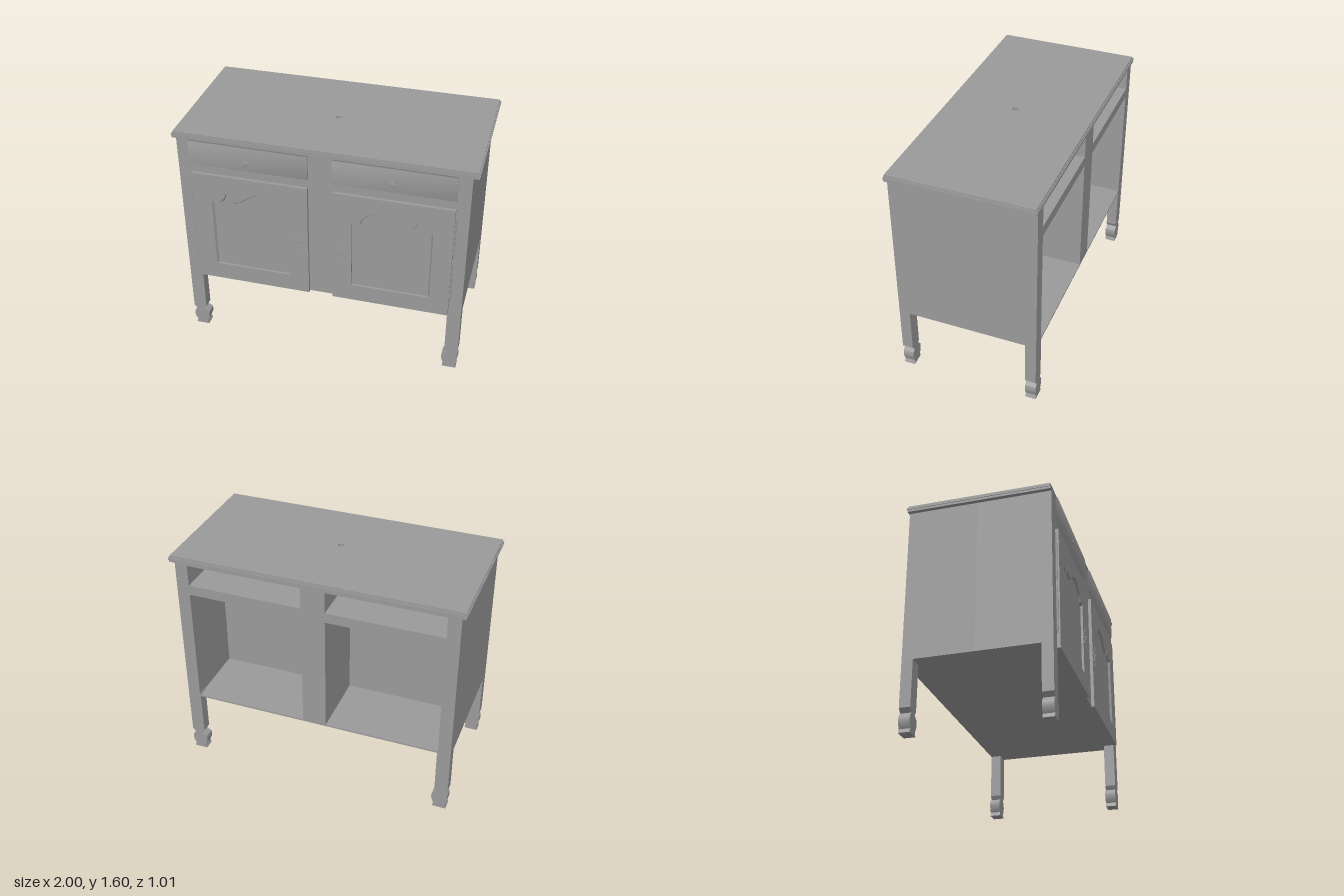
import * as THREE from 'three';
import { mergeVertices } from 'three/addons/utils/BufferGeometryUtils.js';

const mat = new THREE.MeshStandardMaterial({ color: 0x9a9a9a });
const CX = -0.005; // cabinet axis

function add(parent, name, geo, x = 0, y = 0, z = 0) {
  const m = new THREE.Mesh(geo, mat);
  m.name = name;
  m.position.set(x, y, z);
  parent.add(m);
  return m;
}

function rect(Type, x0, y0, x1, y1) {
  const p = new Type();
  p.moveTo(x0, y0); p.lineTo(x1, y0); p.lineTo(x1, y1); p.lineTo(x0, y1);
  p.closePath();
  return p;
}

function extrude(shape, depth, curveSegments = 12) {
  return new THREE.ExtrudeGeometry(shape, { depth, bevelEnabled: false, curveSegments });
}

function lathe(points, segments) {
  return new THREE.LatheGeometry(points.map(([r, y]) => new THREE.Vector2(r, y)), segments);
}

// Box with normals shared across its edges, for a softly cushioned look
function softBox(w, h, d) {
  const g = new THREE.BoxGeometry(w, h, d);
  g.deleteAttribute('normal');
  g.deleteAttribute('uv');
  const soft = mergeVertices(g);
  soft.computeVertexNormals();
  return soft;
}

// Arched panel outline; s mirrors it, inset pulls in the outer side and the top
function panelPath(Type, s, inset = 0) {
  const p = new Type(), i = inset;
  p.moveTo(s * (0.745 - i), 0.60);
  p.lineTo(s * (0.745 - i), 1.115 - i);
  p.lineTo(s * 0.698, 1.115 - i);
  p.quadraticCurveTo(s * 0.655, 1.125 - i, s * 0.641, 1.19 - i);
  p.quadraticCurveTo(s * 0.628, 1.13 - i, s * 0.583, 1.125 - i);
  p.bezierCurveTo(s * 0.53, 1.13 - i, s * 0.49, 1.208 - i, s * 0.40, 1.208 - i);
  p.bezierCurveTo(s * 0.33, 1.208 - i, s * 0.285, 1.165 - i, s * 0.266, 1.112 - i);
  p.lineTo(s * 0.213, 1.112 - i);
  p.lineTo(s * 0.213, 0.60);
  p.closePath();
  return p;
}

// Sloping lip between the door face and the recessed panel
function lipGeometry(s) {
  const front = panelPath(THREE.Path, s).getPoints(12);
  const deep = panelPath(THREE.Path, s, 0.011).getPoints(12);
  const pos = [];
  for (let k = 0; k < front.length - 1; k++) {
    const [a, b] = s > 0 ? [k, k + 1] : [k + 1, k];
    const quad = [[front[a], 0.497], [front[b], 0.497], [deep[a], 0.481], [deep[b], 0.481]];
    for (const n of [0, 1, 2, 1, 3, 2]) pos.push(quad[n][0].x, quad[n][0].y, quad[n][1]);
  }
  const g = new THREE.BufferGeometry();
  g.setAttribute('position', new THREE.Float32BufferAttribute(pos, 3));
  g.computeVertexNormals();
  return g;
}

// Leg with notched ankle and bulging foot, outer side towards s
function legShape(s) {
  const p = new THREE.Shape();
  p.moveTo(s * 0.963, 0.50);
  p.lineTo(s * 0.963, 0.16);
  p.lineTo(s * 0.938, 0.132);
  p.lineTo(s * 0.958, 0.11);
  p.quadraticCurveTo(s * 0.972, 0.07, s * 0.945, 0.028);
  p.lineTo(s * 0.957, 0);
  p.lineTo(s * 0.862, 0);
  p.lineTo(s * 0.872, 0.028);
  p.quadraticCurveTo(s * 0.845, 0.07, s * 0.855, 0.11);
  p.lineTo(s * 0.888, 0.132);
  p.lineTo(s * 0.870, 0.16);
  p.lineTo(s * 0.870, 0.50);
  p.closePath();
  return p;
}

// Half outline of the ornate key plate, from bottom to top
const PLATE = [[0, -0.09], [0.012, -0.075], [0.008, -0.06], [0.028, -0.045], [0.02, -0.02],
  [0.033, 0.005], [0.024, 0.03], [0.03, 0.045], [0.01, 0.06], [0.014, 0.075], [0, 0.09]];

function keyPlate(parent, x, y) {
  const plate = new THREE.Group();
  plate.name = 'keyPlate';
  plate.position.set(x, y, 0.496);
  parent.add(plate);
  const p = new THREE.Shape();
  PLATE.forEach(([px, py], i) => (i ? p.lineTo(px, py) : p.moveTo(px, py)));
  PLATE.slice(1, -1).reverse().forEach(([px, py]) => p.lineTo(-px, py));
  p.closePath();
  const hole = new THREE.Path();
  hole.absarc(0, 0, 0.006, 0, Math.PI * 2, true);
  p.holes.push(hole);
  add(plate, 'plate', extrude(p, 0.003));
  for (const s of [-1, 1]) {
    for (const [px, py] of PLATE) {
      add(plate, 'plateBead', new THREE.SphereGeometry(0.004, 8, 6), s * px * 0.85, py * 0.95, 0.003);
    }
  }
  add(plate, 'key', new THREE.BoxGeometry(0.006, 0.016, 0.01), 0, 0.01, 0.004);
}

export function createModel() {
  const root = new THREE.Group();
  root.name = 'sideboard';
  const body = new THREE.Group();
  body.name = 'cabinet';
  body.position.x = CX;
  root.add(body);

  // Table top: stepped slabs with a small round hole
  const slabs = [['topMoulding', 0.004, 1.555, 0.016], ['topEdge', 0, 1.571, 0.012],
    ['topStep', 0.005, 1.583, 0.008], ['topBoard', 0.01, 1.591, 0.009]];
  for (const [name, i, y, h] of slabs) {
    const s = rect(THREE.Shape, -1 + i, -0.48 + i / 2, 1 - i, 0.505 - i);
    const hole = new THREE.Path();
    hole.absarc(CX, -0.023, 0.02, 0, Math.PI * 2, true);
    s.holes.push(hole);
    add(root, name, extrude(s, h, 16), 0, y, 0).rotation.x = -Math.PI / 2;
  }

  // Solid front half of the carcass
  add(body, 'frontCarcass', new THREE.BoxGeometry(1.926, 1.08, 0.495), 0, 1.018, 0.2275);

  // Rear half with four open compartments
  const rear = rect(THREE.Shape, -0.963, 0.478, 0.963, 1.558);
  for (const s of [-1, 1]) {
    const [a, b] = [s * 0.083, s * 0.875].sort((m, n) => m - n);
    rear.holes.push(rect(THREE.Path, a, 0.49, b, 1.325), rect(THREE.Path, a, 1.395, b, 1.545));
  }
  add(body, 'rearCompartments', extrude(rear, 0.475), 0, 0, -0.495);

  for (const s of [-1, 1]) {
    const side = s > 0 ? 'left' : 'right';

    // Legs
    add(body, side + 'FrontLeg', extrude(legShape(s), 0.075), 0, 0, 0.40);
    add(body, side + 'BackLeg', extrude(legShape(s), 0.075), 0, 0, -0.495);

    // Drawer front and flat disc knob on a stem
    add(body, side + 'Drawer', softBox(0.795, 0.167, 0.022), s * 0.478, 1.471, 0.485);
    const knob = add(body, side + 'Knob', lathe([[0.007, -0.004], [0.007, 0.007], [0.021, 0.007],
      [0.021, 0.011], [0, 0.012]], 20), s * 0.478 - 0.007, 1.45, 0.495);
    knob.rotation.x = Math.PI / 2;

    // Door: frame, sloping lip and recessed panel
    const door = new THREE.Group();
    door.name = side + 'Door';
    body.add(door);
    const [a, b] = [s * 0.083, s * 0.875].sort((m, n) => m - n);
    const frame = rect(THREE.Shape, a, 0.475, b, 1.318);
    frame.holes.push(panelPath(THREE.Path, s));
    add(door, 'doorFrame', extrude(frame, 0.022), 0, 0, 0.475);
    add(door, 'panelLip', lipGeometry(s));
    add(door, 'doorPanel', extrude(panelPath(THREE.Shape, s), 0.006), 0, 0, 0.475);
    keyPlate(door, s * 0.15 - 0.002, 0.88);

    // Hinges with finials
    for (const y of [0.74, 1.105]) {
      add(body, side + 'Hinge', lathe([[0, -0.17], [0.005, -0.163], [0.003, -0.15], [0.007, -0.14],
        [0.007, 0.14], [0.003, 0.15], [0.005, 0.163], [0, 0.17]], 10), s * 0.88, y, 0.481);
    }
  }
  return root;
}
